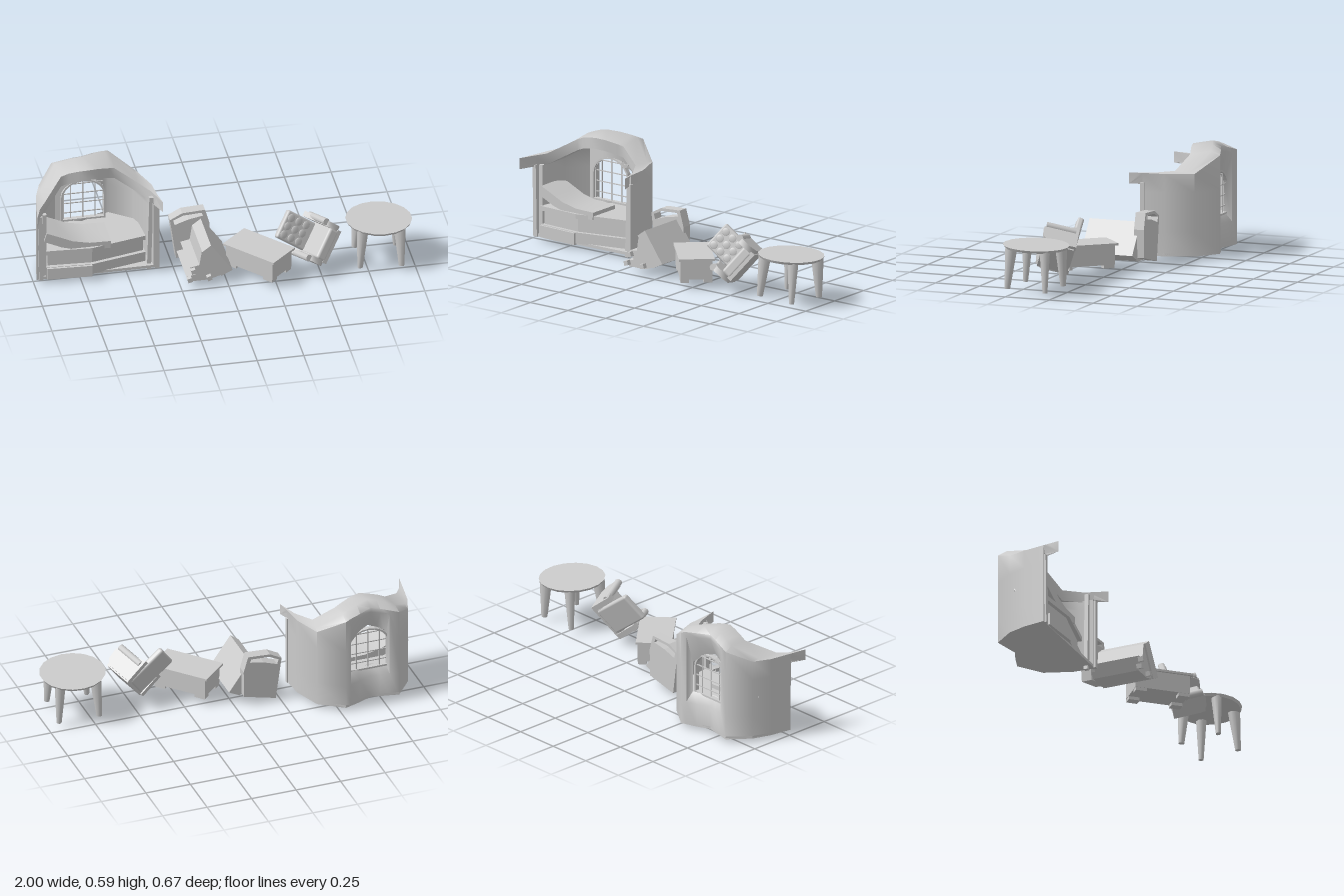
import * as THREE from 'three';
import { toCreasedNormals } from 'three/addons/utils/BufferGeometryUtils.js';
import { RoundedBoxGeometry } from 'three/addons/geometries/RoundedBoxGeometry.js';

const grey = new THREE.MeshStandardMaterial({ color: 0xcccccc, side: THREE.DoubleSide });

function add(parent, name, geometry, x = 0, y = 0, z = 0) {
  const mesh = new THREE.Mesh(geometry, grey);
  mesh.name = name;
  mesh.position.set(x, y, z);
  parent.add(mesh);
  return mesh;
}
function addGroup(parent, name) {
  const g = new THREE.Group();
  g.name = name;
  parent.add(g);
  return g;
}
const box = (w, h, d) => new THREE.BoxGeometry(w, h, d);
const outline = pts => new THREE.Shape(pts.map(p => new THREE.Vector2(p[0], p[1])));

// front profile (x, y) extruded from z0 to z1
function profile(pts, z0, z1, hole) {
  const s = outline(pts);
  if (hole) s.holes.push(outline(hole));
  return new THREE.ExtrudeGeometry(s, { depth: z1 - z0, bevelEnabled: false }).translate(0, 0, z0);
}
// plan (x, z) extruded from y0 to y1
function plan(pts, y0, y1) {
  return new THREE.ExtrudeGeometry(outline(pts), { depth: y1 - y0, bevelEnabled: false })
    .rotateX(Math.PI / 2).translate(0, y1, 0);
}

// alcove stations: wall x, wall z, shoulder height, eave x, eave height, eave z, window head
const stations = [
  [-0.985, 0.02, 0.46, -1.0, 0.46, 0.115, 0.36],
  [-0.965, -0.1, 0.46, -0.97, 0.46, 0.03, 0.36],
  [-0.93, -0.2, 0.465, -0.93, 0.465, -0.03, 0.36],
  [-0.84, -0.31, 0.525, -0.82, 0.535, -0.15, 0.36],
  [-0.79, -0.3, 0.54, -0.78, 0.552, -0.145, 0.37],
  [-0.74, -0.29, 0.555, -0.73, 0.564, -0.135, 0.42],
  [-0.69, -0.28, 0.565, -0.68, 0.572, -0.125, 0.44],
  [-0.62, -0.31, 0.56, -0.62, 0.565, -0.14, 0.42],
  [-0.56, -0.33, 0.553, -0.56, 0.55, -0.16, 0.37],
  [-0.53, -0.34, 0.545, -0.53, 0.54, -0.17, 0.36],
  [-0.4, -0.25, 0.462, -0.42, 0.467, -0.13, 0.36],
  [-0.345, -0.1, 0.46, -0.36, 0.46, -0.03, 0.36],
  [-0.335, 0.02, 0.46, -0.32, 0.46, 0.09, 0.36],
];

// closed wall-and-roof section swept along the stations, with a recessed window opening
function shellGeometry() {
  const pos = [], idx = [], n = 11, first = 4, last = 8;
  stations.forEach(([x, z, top, ex, ey, ez, head], i) => {
    const ix = -0.66 + (x + 0.66) * 0.93, iz = z > 0 ? z : z + 0.04;
    const outerHead = i >= first && i <= last ? top - 0.025 : head;
    const ridge = top + (ey - top) * 0.3 + (top - 0.46) * 0.25;
    pos.push(x, 0.02, z, x, 0.15, z, x, outerHead, z, x, top, z,
      x + (ex - x) * 0.3, ridge, z + (ez - z) * 0.3, ex, ey, ez,
      ex, ey - 0.06, ez, ix, top - 0.05, iz, ix, head, iz, ix, 0.2, iz, ix, 0.02, iz);
  });
  const quad = (a, b, c, d) => idx.push(a, b, c, a, c, d);
  for (let i = 0; i < stations.length - 1; i++) {
    const a = i * n, b = a + n, win = i >= first && i < last;
    for (let k = 0; k < n; k++) {
      if (win && (k === 1 || k === 8)) continue;
      const m = (k + 1) % n;
      quad(a + k, a + m, b + m, b + k);
    }
    if (win) {
      quad(a + 1, a + 9, b + 9, b + 1);
      quad(a + 8, a + 2, b + 2, b + 8);
    }
  }
  for (const i of [first, last]) quad(i * n + 1, i * n + 2, i * n + 8, i * n + 9);
  for (const i of [0, stations.length - 1]) {
    const a = i * n;
    for (let k = 0; k < 4; k++) quad(a + k, a + k + 1, a + 9 - k, a + 10 - k);
    idx.push(a + 4, a + 5, a + 6);
  }
  const g = new THREE.BufferGeometry();
  g.setAttribute('position', new THREE.Float32BufferAttribute(pos, 3));
  g.setIndex(idx);
  return toCreasedNormals(g, 1.1);
}

function bedAlcove(root) {
  const g = addGroup(root, 'bedAlcove');
  add(g, 'wallsAndRoof', shellGeometry());
  add(g, 'floor', plan(stations.map(s => [s[0], s[1]]), 0.02, 0.035));

  // front posts
  for (const [x, y0, y1, z, tilt] of [[-0.965, 0.02, 0.41, 0.02, 0.02], [-0.94, 0.02, 0.41, 0.0, 0],
    [-0.372, 0, 0.44, -0.01, -0.03], [-0.34, 0.02, 0.41, 0.02, 0]]) {
    add(g, 'post', box(0.022, y1 - y0, 0.022), x, (y0 + y1) / 2, z).rotation.z = tilt;
  }

  // arched window with glazing bars
  const w = addGroup(g, 'window');
  const arch = r => {
    const pts = [[-r, 0.31 - r], [r, 0.31 - r]];
    for (let i = 0; i <= 10; i++) {
      const a = Math.PI * i / 10;
      pts.push([r * Math.cos(a), 0.335 + r * 0.85 * Math.sin(a)]);
    }
    return pts;
  };
  add(w, 'windowFrame', profile(arch(0.12), -0.275, -0.25, arch(0.11)));
  for (const x of [-0.065, 0, 0.065]) add(w, 'uprightBar', box(0.005, 0.225, 0.005), x, 0.31, -0.265);
  for (let i = 0; i < 4; i++) add(w, 'crossBar', box(0.22, 0.005, 0.005), 0, 0.235 + i * 0.058, -0.265);
  w.position.x = -0.68;

  // bed base, body and mattress follow the curved wall
  const bed = [[-0.94, 0.03], [-0.69, 0.045], [-0.385, -0.02], [-0.4, -0.2], [-0.53, -0.3], [-0.68, -0.245], [-0.82, -0.26], [-0.91, -0.17]];
  const inset = k => bed.map(([x, z]) => [-0.66 + (x + 0.66) * k, z > -0.1 ? z - (1 - k) * 0.5 : z]);
  add(g, 'bedBase', plan(inset(0.98), 0.03, 0.09));
  add(g, 'bedBody', plan(inset(0.94), 0.09, 0.17));
  add(g, 'mattress', plan(inset(0.98), 0.165, 0.19));
  add(g, 'drawerFront', box(0.24, 0.065, 0.02), -0.81, 0.055, 0.03).rotation.y = -0.06;

  // sagging cushion leaning on the left wall
  const cushion = profile([[-0.945, 0.25], [-0.85, 0.205], [-0.75, 0.175], [-0.59, 0.17], [-0.585, 0.212], [-0.7, 0.215],
    [-0.79, 0.235], [-0.86, 0.268], [-0.93, 0.3]], -0.17, 0.02);
  add(g, 'cushion', toCreasedNormals(cushion, 0.6));
}

function tippedChair(root) {
  const g = addGroup(root, 'tippedChair');
  add(g, 'chairBack', profile([[-0.255, 0.255], [-0.19, 0.29], [-0.067, 0.297], [-0.042, 0.21], [-0.045, 0.06], [-0.222, 0.016]],
    -0.108, -0.052, [[-0.238, 0.25], [-0.185, 0.275], [-0.085, 0.281], [-0.078, 0.262], [-0.155, 0.248], [-0.23, 0.222]]));
  add(g, 'seat', profile([[-0.137, 0.21], [-0.09, 0.245], [0.026, 0.08], [-0.035, 0.05]], -0.07, 0.22));
  add(g, 'seatFrame', profile([[-0.137, 0.21], [-0.035, 0.05], [-0.1, 0.03], [-0.2, 0.03], [-0.22, 0.06], [-0.17, 0.07],
    [-0.2, 0.115], [-0.15, 0.125]], -0.055, 0.21));
  for (const [x, y] of [[-0.205, 0.05], [-0.185, 0.1], [-0.1, 0.05]]) {
    add(g, 'foot', box(0.025, 0.025, 0.03), x, y, 0.22).rotation.z = 0.3;
  }
}

function chest(root) {
  const g = addGroup(root, 'chest');
  add(g, 'lid', box(0.33, 0.012, 0.19), 0, 0.16, 0);
  add(g, 'body', box(0.3, 0.105, 0.17), 0, 0.103, 0);
  for (const sx of [-1, 1]) for (const sz of [-1, 1]) {
    add(g, 'foot', box(0.06, 0.03, 0.045), sx * 0.118, 0.048, sz * 0.061);
  }
  g.position.set(0.181, 0, 0.147);
  g.rotation.y = -0.83;
}

function tippedArmchair(root) {
  const g = addGroup(root, 'tippedArmchair');
  add(g, 'seat', new RoundedBoxGeometry(0.18, 0.06, 0.17, 2, 0.015), 0, -0.025, 0);
  add(g, 'base', box(0.19, 0.025, 0.165), 0, -0.055, 0);
  const back = add(g, 'backrest', new RoundedBoxGeometry(0.16, 0.24, 0.035, 2, 0.012), 0, 0.065, -0.08);
  back.rotation.x = -0.08;
  // rolled arms curving down to the front
  const arm = profile([[-0.09, -0.06], [0.06, -0.06], [0.09, -0.03], [0.095, 0.03], [0.07, 0.055], [0, 0.055], [-0.09, 0.08]], -0.015, 0.015);
  for (const s of [-1, 1]) {
    add(g, 'arm', toCreasedNormals(arm, 0.9), s * 0.1, 0, 0).rotation.y = -Math.PI / 2;
    add(g, 'armRoll', new THREE.CylinderGeometry(0.019, 0.019, 0.16, 10), s * 0.106, 0.05, 0.005).rotation.x = Math.PI / 2;
  }
  // shallow tufts on the backrest
  for (let i = 0; i < 3; i++) for (let j = 0; j < 3; j++) {
    const tuft = add(g, 'tuft', new THREE.SphereGeometry(0.024, 8, 6), (i - 1) * 0.048, 0.05 + j * 0.05, -0.063 - j * 0.004);
    tuft.scale.z = 0.25;
  }
  const side = new THREE.Vector3(0.5, 0.72, -0.4).normalize();
  const up = new THREE.Vector3(0.39, 0.25, 0.9).cross(side).normalize();
  const front = new THREE.Vector3().crossVectors(side, up);
  g.quaternion.setFromRotationMatrix(new THREE.Matrix4().makeBasis(side, up, front));
  g.position.set(0.483, 0.178, 0.168);
}

function roundTable(root) {
  const g = addGroup(root, 'roundTable');
  add(g, 'tableTop', toCreasedNormals(new THREE.CylinderGeometry(0.176, 0.168, 0.014, 18), 0.6), 0, 0.248, 0);
  // four tapered legs, splayed slightly outwards
  for (let i = 0; i < 4; i++) {
    const pivot = addGroup(g, 'legPivot');
    const leg = add(pivot, 'leg', toCreasedNormals(new THREE.CylinderGeometry(0.034, 0.016, 0.22, 8), 0.9), 0.147, 0.135, 0);
    leg.scale.z = 0.85;
    leg.rotation.z = 0.08;
    pivot.rotation.y = Math.PI / 4 + i * Math.PI / 2 - 0.06;
  }
  g.position.set(0.818, 0.003, 0.155);
  g.rotation.set(-0.035, 0, -0.025);
}

export function createModel() {
  const root = new THREE.Group();
  root.name = 'furnitureSet';
  bedAlcove(root);
  tippedChair(root);
  chest(root);
  tippedArmchair(root);
  roundTable(root);
  return root;
}
